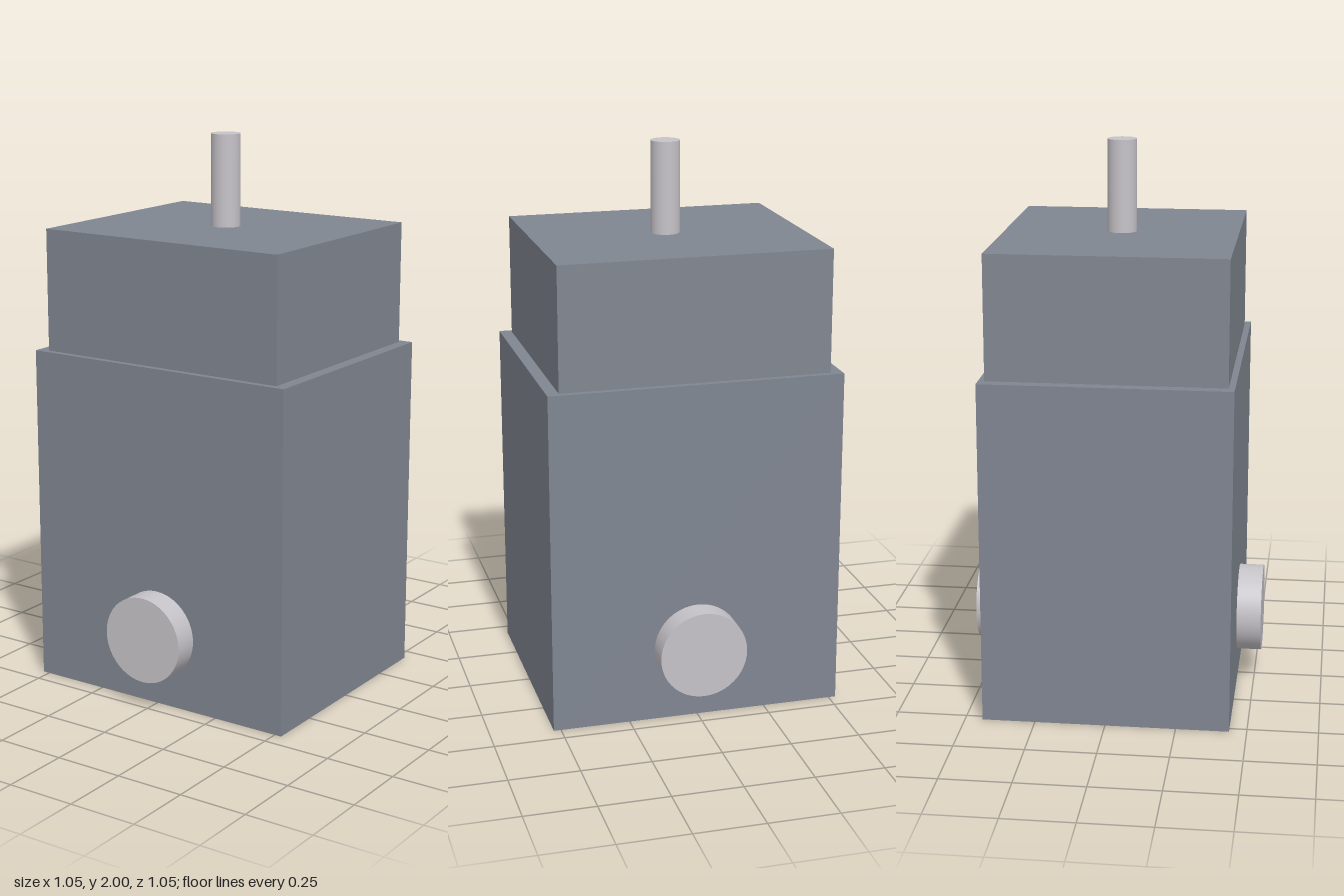
import * as THREE from 'three';

export function createModel() {
  const model = new THREE.Group();
  const bodyGrey = new THREE.MeshStandardMaterial({ color: 0x808691 });
  bodyGrey.name = 'slate grey';
  const metal = new THREE.MeshStandardMaterial({ color: 0xc6c3c8 });
  metal.name = 'light metal';

  const add = (name, geometry, material, y, z = 0) => {
    const mesh = new THREE.Mesh(geometry, material);
    mesh.name = name;
    mesh.position.set(0, y, z);
    model.add(mesh);
    return mesh;
  };

  // Stepped housing
  add('lowerHousing', new THREE.BoxGeometry(1.052, 1.232, 0.876), bodyGrey, 0.616);
  add('upperHousing', new THREE.BoxGeometry(0.966, 0.44, 0.832), bodyGrey, 1.452);

  // Shaft rising from the top
  add('shaft', new THREE.CylinderGeometry(0.052, 0.052, 0.34, 48), metal, 1.83);

  // Round ports low on the front and back
  for (const [name, side] of [['frontPort', 1], ['backPort', -1]]) {
    const port = add(name, new THREE.CylinderGeometry(0.157, 0.157, 0.1, 64), metal, 0.266, side * 0.476);
    port.rotation.x = side * Math.PI / 2;
  }
  return model;
}
